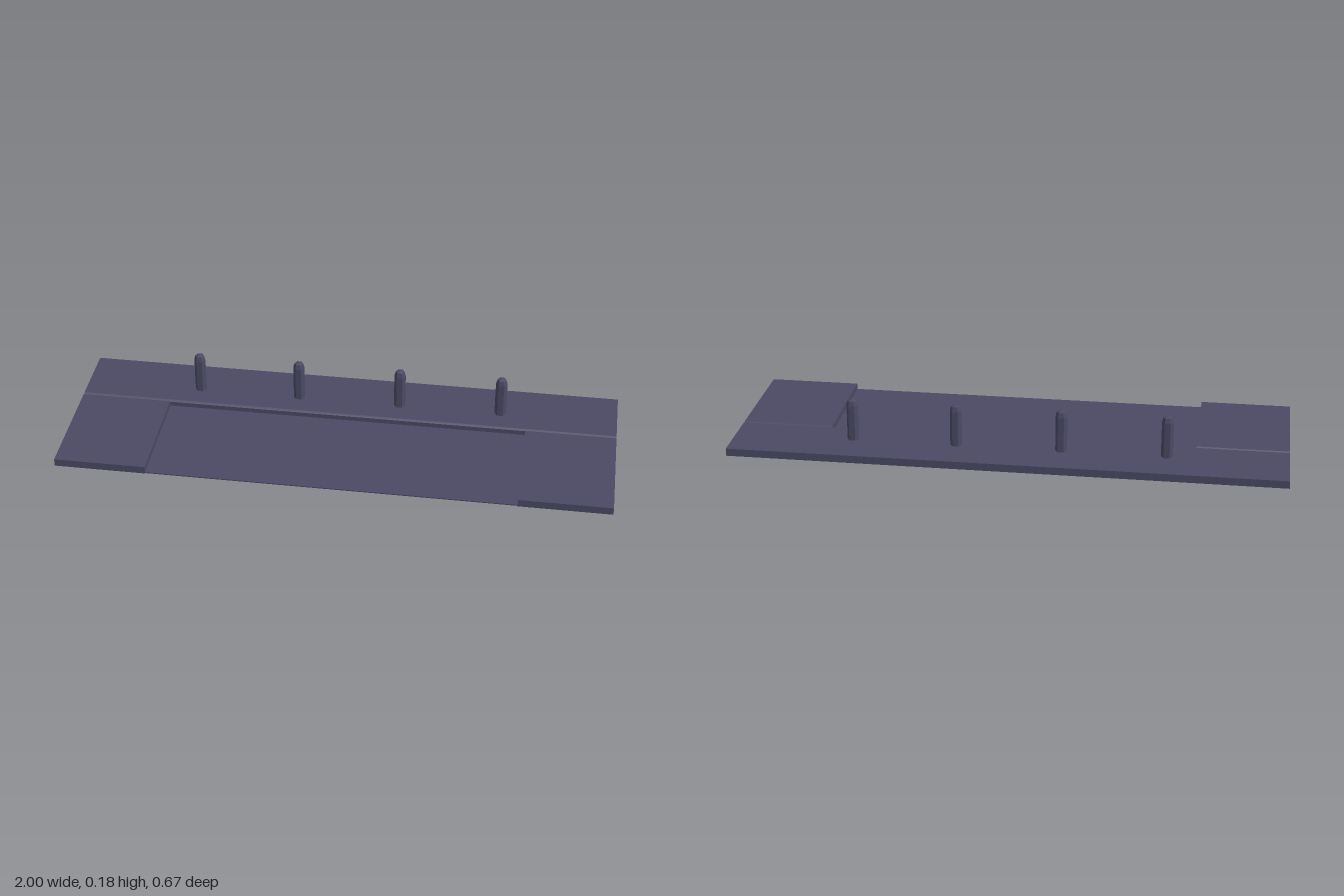
import * as THREE from 'three';

const slate = new THREE.MeshStandardMaterial({ color: 0x4a4963 });
slate.name = 'slate';

const TOP = 0.028;    // plate thickness
const SEAM = -0.087;  // z of the seam between back strip and front part
const HALF = 0.333;   // half depth
const INNER = 0.667;  // half width of the recess

// Sweeps a (z, y) profile along x, from x0 to x1
function sweep(name, profile, x0, x1) {
  const shape = new THREE.Shape(profile.map(([z, y]) => new THREE.Vector2(z, y)));
  const geo = new THREE.ExtrudeGeometry(shape, { depth: x1 - x0, bevelEnabled: false });
  geo.rotateY(-Math.PI / 2).translate(x1, 0, 0);
  const mesh = new THREE.Mesh(geo, slate);
  mesh.name = name;
  return mesh;
}

// Hexagonal peg with a chamfered, slightly pointed tip
function makePeg(x) {
  const r = 0.0213;
  const rings = [[r, TOP - 0.01], [r, 0.16], [0.0165, 0.178], [0, 0.183]];
  const peg = new THREE.Group();
  peg.name = 'peg';
  for (let i = 0; i < rings.length - 1; i++) {
    const [r0, y0] = rings[i];
    const [r1, y1] = rings[i + 1];
    const geo = new THREE.CylinderGeometry(r1, r0, y1 - y0, 6, 1, true)
      .rotateY(Math.PI / 2)
      .translate(0, (y0 + y1) / 2, 0)
      .toNonIndexed();
    geo.computeVertexNormals(); // flat facets
    const mesh = new THREE.Mesh(geo, slate);
    mesh.name = ['pegShaft', 'pegChamfer', 'pegTip'][i];
    peg.add(mesh);
  }
  peg.position.set(x, 0, -0.183);
  return peg;
}

export function createModel() {
  const model = new THREE.Group();
  model.name = 'peggedPlate';

  // Back strip, chamfered along the seam
  model.add(sweep('backStrip', [
    [-HALF, 0], [SEAM, 0], [SEAM, 0.023], [-0.0955, TOP], [-HALF, TOP],
  ], -1, 1));

  // Raised end blocks, with a small chamfer that completes the groove
  const block = [[SEAM, 0], [HALF, 0], [HALF, TOP], [-0.083, TOP], [SEAM, 0.023]];
  model.add(sweep('rightBlock', block, -1, -INNER));
  model.add(sweep('leftBlock', block, INNER, 1));

  // Thin recessed floor between the blocks
  model.add(sweep('recessedPanel', [
    [SEAM, 0.002], [HALF, 0.002], [HALF, 0.006], [SEAM, 0.006],
  ], -INNER, INNER));

  // Row of pegs
  for (const x of [-0.567, -0.19, 0.19, 0.567]) model.add(makePeg(x));

  return model;
}
